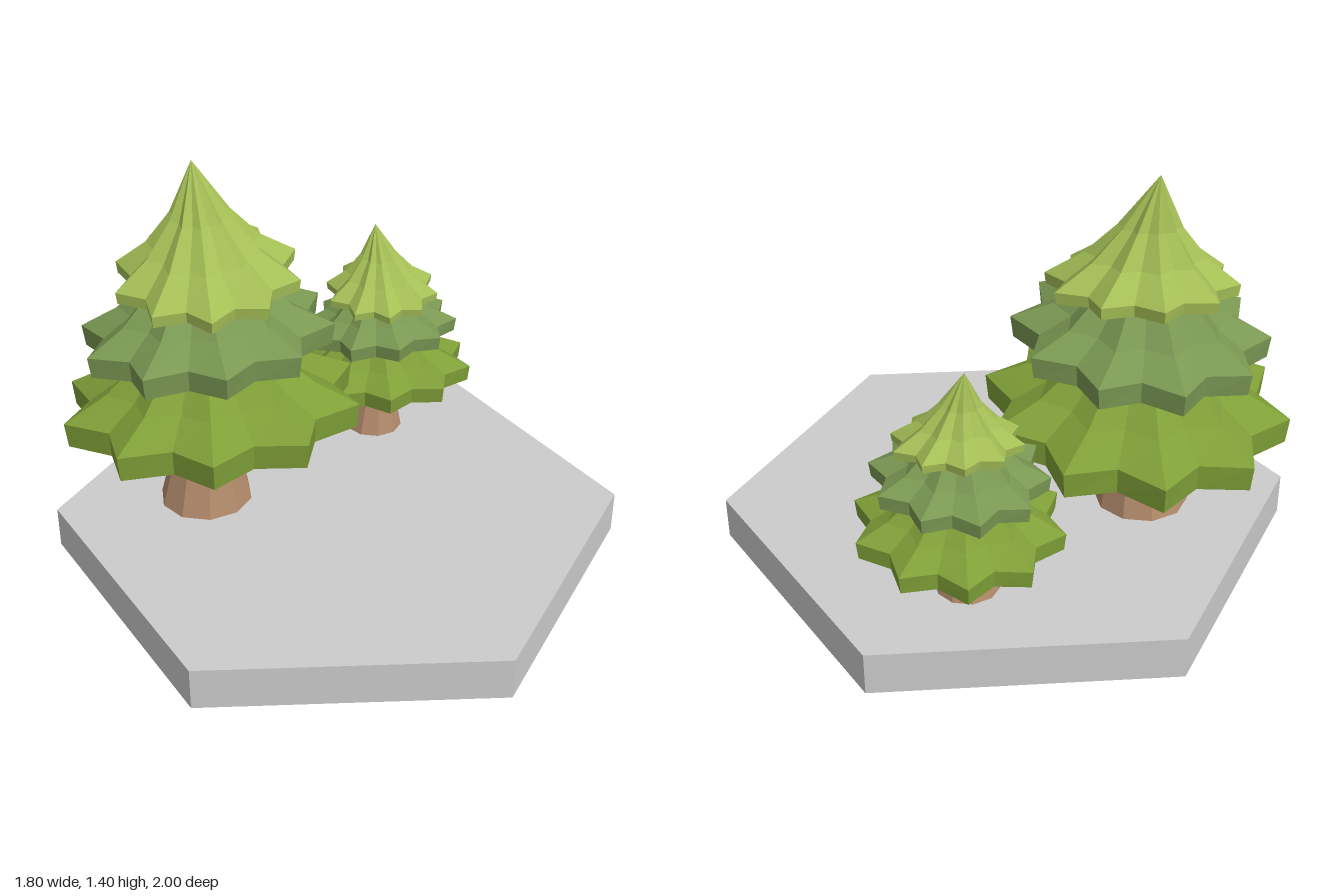
import * as THREE from 'three';

const POINTS = 10;

const mat = (color) => new THREE.MeshStandardMaterial({ color, flatShading: true });

// Lofted shell: each ring is [tipRadius, notchRadius, y, centreX, centreZ], from the bottom up.
// tiltX and tiltZ lean the rings, phase turns the star.
function starLoft(rings, { phase = 0, tiltX = 0, tiltZ = 0 } = {}) {
  const n = POINTS * 2;
  const pos = [];
  const index = [];
  for (const [tip, notch, y, cx, cz] of rings) {
    for (let j = 0; j < n; j++) {
      const a = phase + (j / n) * Math.PI * 2;
      const r = j % 2 ? notch : tip;
      const dx = r * Math.cos(a);
      const dz = r * Math.sin(a);
      pos.push(cx + dx, y + dx * tiltX + dz * tiltZ, cz + dz);
    }
  }
  for (let i = 0; i < rings.length - 1; i++) {
    for (let j = 0; j < n; j++) {
      const k = (j + 1) % n;
      const a = i * n + j, b = i * n + k, c = a + n, d = b + n;
      index.push(a, c, b, b, c, d);
    }
  }
  const geo = new THREE.BufferGeometry();
  geo.setAttribute('position', new THREE.Float32BufferAttribute(pos, 3));
  geo.setIndex(index);
  const flat = geo.toNonIndexed();
  flat.computeVertexNormals();
  return flat;
}

// Flared trunk, ten flat sides, leaning slightly
function trunkGeometry() {
  const geo = new THREE.CylinderGeometry(0.095, 0.165, 0.5, POINTS, 3);
  geo.translate(0, 0.25, 0);
  const p = geo.attributes.position;
  for (let i = 0; i < p.count; i++) {
    const t = p.getY(i) / 0.5;
    const pinch = 1 - 0.12 * Math.sin(t * Math.PI);
    p.setX(i, p.getX(i) * pinch + 0.015 * t);
    p.setZ(i, p.getZ(i) * pinch - 0.02 * t);
  }
  geo.computeVertexNormals();
  return geo;
}

// Foliage tiers, heights measured from the foot of the trunk
const TIERS = [
  {
    name: 'lowerFoliage', color: 0x7f9f38, phase: -14, tiltX: 0.06, tiltZ: 0.04,
    rings: [
      [0, 0, 0.38, 0.02, -0.03],
      [0.515, 0.42, 0.325, 0.025, -0.03],
      [0.525, 0.425, 0.415, 0.025, -0.03],
      [0.37, 0.31, 0.49, 0.02, -0.03],
      [0.26, 0.225, 0.58, 0.015, -0.03],
      [0.18, 0.16, 0.68, 0.01, -0.03],
    ],
  },
  {
    name: 'middleFoliage', color: 0x7a9853, phase: -22, tiltX: 0.07, tiltZ: 0.02,
    rings: [
      [0, 0, 0.66, 0.02, -0.03],
      [0.425, 0.345, 0.61, 0.02, -0.025],
      [0.435, 0.35, 0.685, 0.02, -0.025],
      [0.3, 0.25, 0.75, 0.01, -0.03],
      [0.215, 0.18, 0.83, 0.005, -0.035],
      [0.14, 0.12, 0.92, 0, -0.04],
    ],
  },
  {
    name: 'upperFoliage', color: 0xa5bf56, phase: -16, tiltX: -0.04, tiltZ: -0.1,
    rings: [
      [0, 0, 0.88, 0.01, -0.05],
      [0.315, 0.25, 0.835, 0.015, -0.05],
      [0.32, 0.255, 0.875, 0.015, -0.05],
      [0.2, 0.165, 0.96, 0.005, -0.05],
      [0.105, 0.085, 1.07, -0.01, -0.06],
      [0, 0, 1.25, -0.04, -0.07],
    ],
  },
];

function createTree(name) {
  const tree = new THREE.Group();
  tree.name = name;
  const trunk = new THREE.Mesh(trunkGeometry(), mat(0xb48c6c));
  trunk.name = 'trunk';
  tree.add(trunk);
  for (const { name: part, color, rings, phase, tiltX, tiltZ } of TIERS) {
    const geo = starLoft(rings, { phase: THREE.MathUtils.degToRad(phase), tiltX, tiltZ });
    const tier = new THREE.Mesh(geo, mat(color));
    tier.name = part;
    tree.add(tier);
  }
  return tree;
}

export function createModel() {
  const model = new THREE.Group();
  model.name = 'treeTile';

  // Hexagonal ground tile with corners at front and back
  const base = new THREE.Mesh(new THREE.CylinderGeometry(1, 1, 0.15, 6), mat(0xcccccc));
  base.name = 'hexBase';
  base.position.set(0.027, 0.075, 0);
  model.add(base);

  // The same tree at two sizes
  const large = createTree('largeTree');
  large.position.set(-0.42, 0.15, 0.17);
  const small = createTree('smallTree');
  small.position.set(-0.1, 0.15, -0.55);
  small.scale.setScalar(0.655);
  model.add(large, small);

  return model;
}
